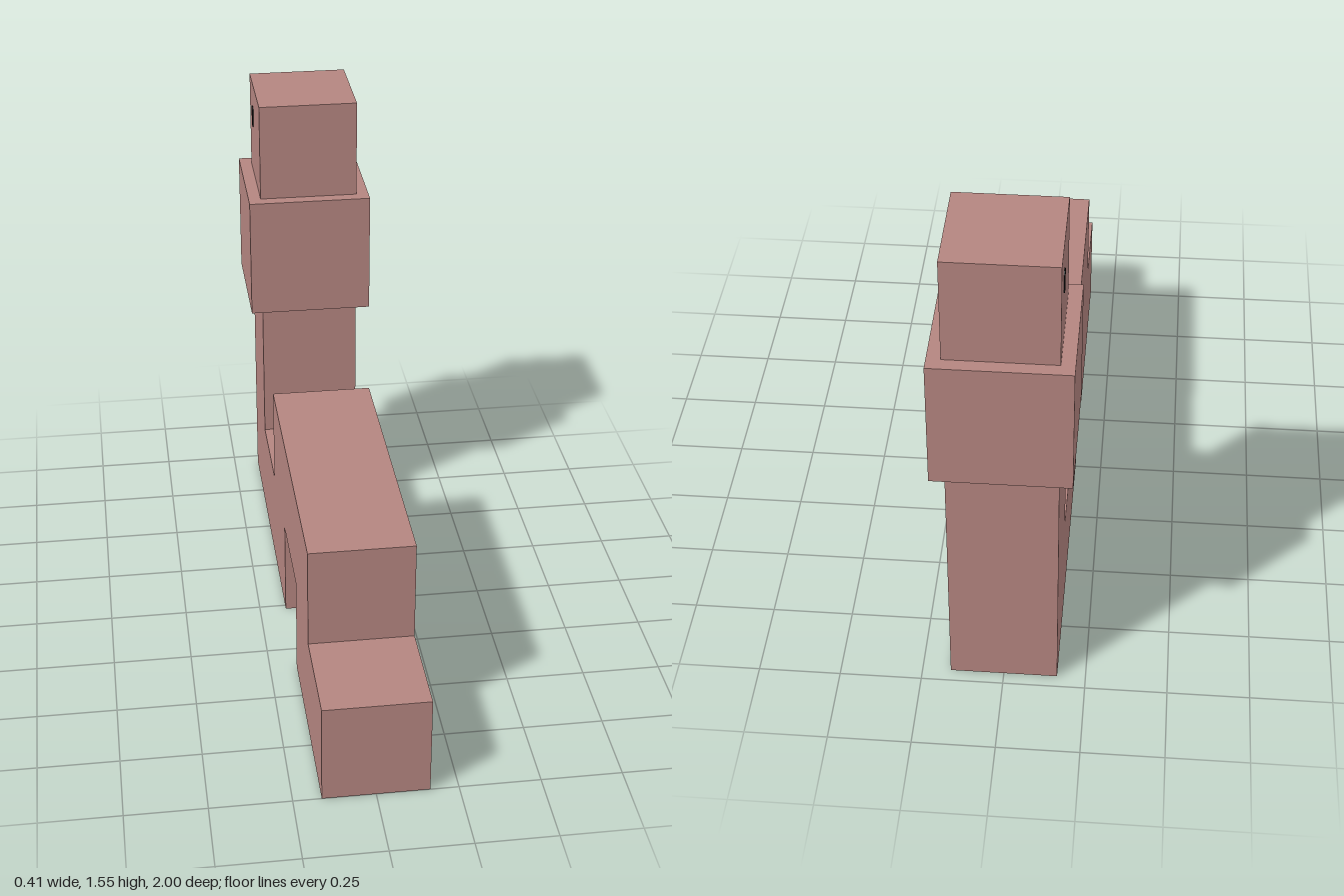
import * as THREE from 'three';

const U = 2 / 6.125; // one block of the body

export function createModel() {
  const model = new THREE.Group();
  const skin = new THREE.MeshStandardMaterial({ name: 'dusty pink', color: 0xb48580 });
  const dark = new THREE.MeshStandardMaterial({ name: 'eye black', color: 0x1c1c1c });

  const add = (name, geometry, material, x, y, z) => {
    const mesh = new THREE.Mesh(geometry, material);
    mesh.name = name;
    mesh.position.set(x, y, z);
    model.add(mesh);
    return mesh;
  };

  // Stepped body and raised neck, as a side profile in blocks (z, y)
  const outline = [
    [0, 0], [0, 1], [-1, 1], [-1, 2], [-4, 2], [-4, 1], [-5, 1], [-5, 4.75],
    [-6, 4.75], [-6, 0], [-3, 0], [-3, 1], [-2, 1], [-2, 0],
  ].map(([z, y]) => new THREE.Vector2(1 + z * U, y * U));
  const body = new THREE.ExtrudeGeometry(new THREE.Shape(outline), { depth: U, bevelEnabled: false });
  body.translate(0, 0, -U / 2).rotateY(-Math.PI / 2);
  add('body', body, skin, 0, 0, 0);

  // Wider hood around the neck
  add('hood', new THREE.BoxGeometry(1.25 * U, 1.25 * U, 1.25 * U), skin, 0, 3.125 * U, 1 - 5.5 * U);

  // Upright slit eye on each side of the head
  const w = 0.016, h = 0.036, c = 0.008;
  const slit = new THREE.Shape([
    [-w, -h + c], [-w + c, -h], [w - c, -h], [w, -h + c],
    [w, h - c], [w - c, h], [-w + c, h], [-w, h - c],
  ].map(([x, y]) => new THREE.Vector2(x, y)));
  const eye = new THREE.ExtrudeGeometry(slit, { depth: 0.004, bevelEnabled: false });
  for (const side of [1, -1]) {
    const mesh = add(side > 0 ? 'leftEye' : 'rightEye', eye, dark, side * (U / 2 - 0.001), 1.435, -0.857);
    mesh.rotation.y = side * Math.PI / 2;
  }

  return model;
}
